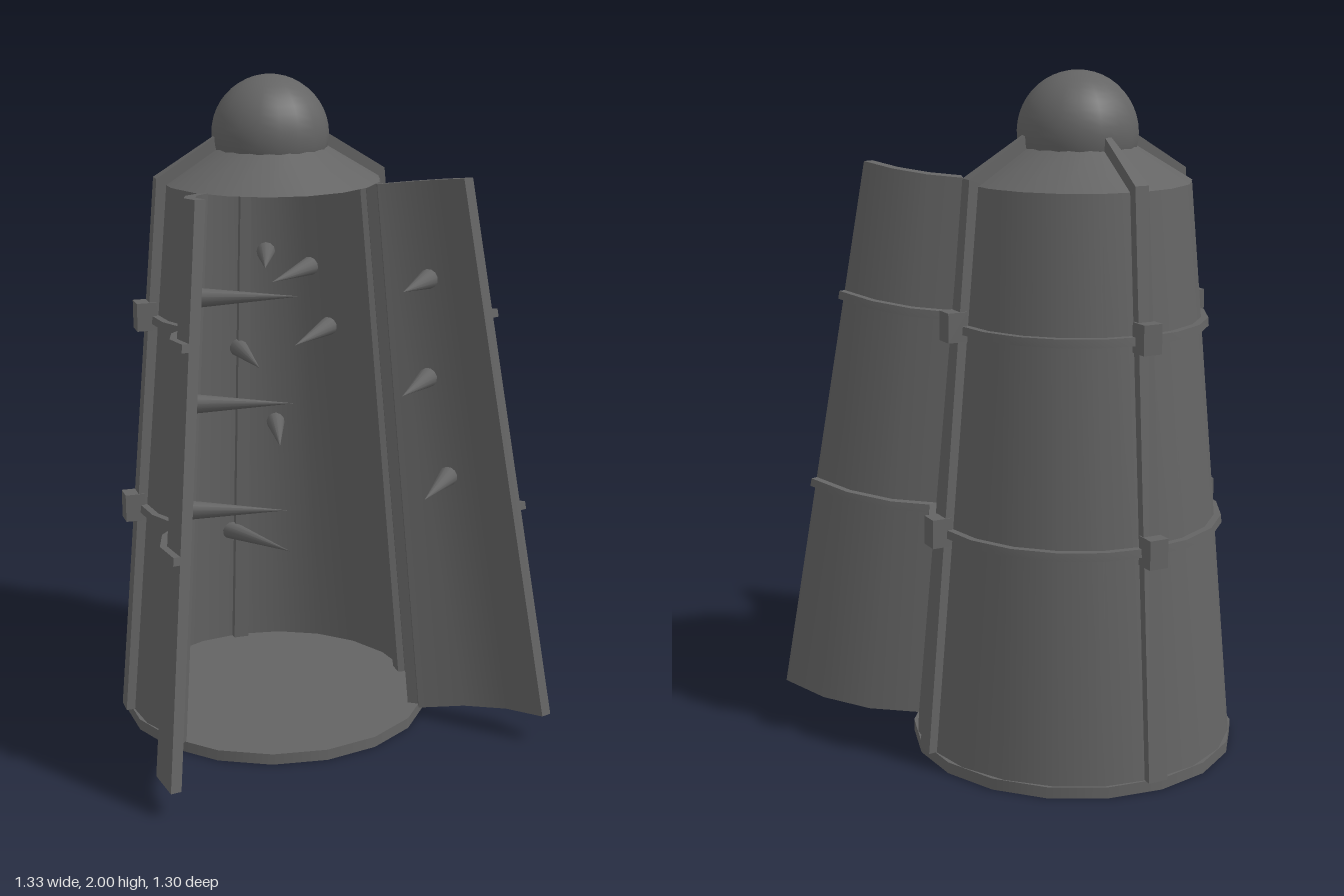
import * as THREE from 'three';
import { mergeGeometries, toCreasedNormals } from 'three/addons/utils/BufferGeometryUtils.js';

const material = new THREE.MeshStandardMaterial({ color: 0x646464, side: THREE.DoubleSide });
const rad = THREE.MathUtils.degToRad;
const CENTRE = 17.4;   // direction the opening faces, degrees from +z towards +x
const HALF = 55.5;     // half of the opening angle
const Y0 = 0.032, Y1 = 1.69, R0 = 0.476, R1 = 0.328, THICK = 0.033;
const wallRadius = (y) => R0 + (R1 - R0) * (y - Y0) / (Y1 - Y0);
const polar = (r, deg, y) => new THREE.Vector3(r * Math.sin(rad(deg)), y, r * Math.cos(rad(deg)));

function add(parent, name, geometry) {
  const mesh = new THREE.Mesh(geometry, material);
  mesh.name = name;
  parent.add(mesh);
  return mesh;
}

// Part of a ring with a solid cross-section between two angles, ends capped
function sector(from, to, yLow, yHigh, inner, outer, segments) {
  const points = [[outer, yLow], [outer, yHigh], [inner, yHigh], [inner, yLow], [outer, yLow]]
    .map(([offset, y]) => new THREE.Vector2(wallRadius(y) + offset, y));
  const ring = new THREE.LatheGeometry(points, segments, rad(from), rad(to - from));
  const caps = [from, to].map((a) =>
    new THREE.ShapeGeometry(new THREE.Shape(points.slice(0, 4))).rotateY(rad(a - 90)));
  return toCreasedNormals(mergeGeometries([ring, ...caps]), 0.6);
}

// Curved panel with its two raised bands
function panel(parent, name, from, to, segments) {
  add(parent, name, sector(from, to, Y0, Y1, -THICK, 0, segments));
  for (const y of [0.7, 1.29]) {
    add(parent, name + 'Band', sector(from, to, y - 0.012, y + 0.012, -0.005, 0.021, segments));
  }
}

// Cone pointing from base to tip
function spike(parent, base, tip) {
  const dir = tip.clone().sub(base);
  const length = dir.length();
  const mesh = add(parent, 'spike', new THREE.ConeGeometry(0.031, length, 12).translate(0, length / 2, 0));
  mesh.position.copy(base);
  mesh.quaternion.setFromUnitVectors(new THREE.Vector3(0, 1, 0), dir.normalize());
}

// Upright rib that passes through the wall and folds over the roof, narrowing upwards
function rib(parent, angle) {
  const outline = [[0.498, 0.035], [0.354, 1.71], [0.17, 1.825], [0.155, 1.78], [0.275, 1.68], [0.415, 0.035]];
  const shape = new THREE.Shape(outline.map(([r, y]) => new THREE.Vector2(r, y)));
  const geometry = new THREE.ExtrudeGeometry(shape, { depth: 0.056, bevelEnabled: false });
  geometry.translate(0, 0, -0.028);
  const p = geometry.attributes.position;
  for (let i = 0; i < p.count; i++) p.setZ(i, p.getZ(i) * p.getX(i) / 0.46);
  geometry.computeVertexNormals();
  add(parent, 'rib', geometry.rotateY(rad(angle - 90)));
  // Clamps where the bands cross the rib
  for (const y of [0.705, 1.3]) {
    const clamp = add(parent, 'clamp', new THREE.BoxGeometry(0.058, 0.085, 0.06));
    clamp.position.copy(polar(wallRadius(y) + 0.032, angle, y));
    clamp.rotation.y = rad(angle);
  }
}

// Door half, swung about its sloping hinge edge; spikes are [height, degrees from the opening's centre]
function door(parent, name, side, swing, spikes) {
  const group = new THREE.Group();
  group.name = name;
  const hinge = CENTRE + side * HALF;
  panel(group, name + 'Panel', Math.min(CENTRE, hinge), Math.max(CENTRE, hinge), 3);
  for (const [y, offset] of spikes) {
    const base = polar(wallRadius(y) - THICK + 0.008, CENTRE + side * offset, y);
    spike(group, base, base.clone().add(polar(-0.32, CENTRE + side * 37, 0)));
  }
  const low = polar(R0, hinge, Y0);
  const axis = polar(R1, hinge, Y1).sub(low).normalize();
  group.quaternion.setFromAxisAngle(axis, rad(swing));
  group.position.copy(low).sub(low.clone().applyQuaternion(group.quaternion));
  parent.add(group);
}

export function createModel() {
  const model = new THREE.Group();
  model.name = 'spikedCabinet';
  const body = new THREE.Group();
  body.name = 'body';
  body.position.set(-0.178, 0, -0.168);
  model.add(body);

  // Base, wall, roof and half ball
  add(body, 'base', new THREE.CylinderGeometry(0.484, 0.484, 0.034, 18).translate(0, 0.017, 0));
  panel(body, 'wall', CENTRE + HALF, CENTRE + 360 - HALF, 14);
  add(body, 'roof', new THREE.CylinderGeometry(0.165, 0.33, 0.1, 18).translate(0, 1.74, 0));
  const ball = new THREE.SphereGeometry(0.175, 18, 14, 0, Math.PI * 2, 0, Math.PI * 0.63);
  add(body, 'ball', ball.translate(0, 1.825, 0));

  for (const turn of [90, 180, 270]) rib(body, CENTRE + turn);

  // Spikes on the back wall: base x, base y, tip x
  const wallSpikes = [[-0.025, 1.405, -0.02], [0.12, 1.36, 0], [0.18, 1.165, 0.07],
    [-0.12, 1.085, -0.04], [0, 0.82, 0.02], [-0.16, 0.435, 0.05]];
  for (const [x, y, tipX] of wallSpikes) {
    const r = wallRadius(y) - THICK + 0.008;
    const z = -Math.sqrt(r * r - x * x);
    const reach = Math.sqrt(0.32 ** 2 - (tipX - x) ** 2);
    spike(body, new THREE.Vector3(x, y, z), new THREE.Vector3(tipX, y + 0.01, z + reach));
  }

  // Doors
  door(body, 'leftDoor', 1, 109, [[1.4, 32], [1.1, 38], [0.79, 33]]);
  door(body, 'rightDoor', -1, -78, [[1.41, 26], [1.1, 35], [0.8, 28]]);
  return model;
}
